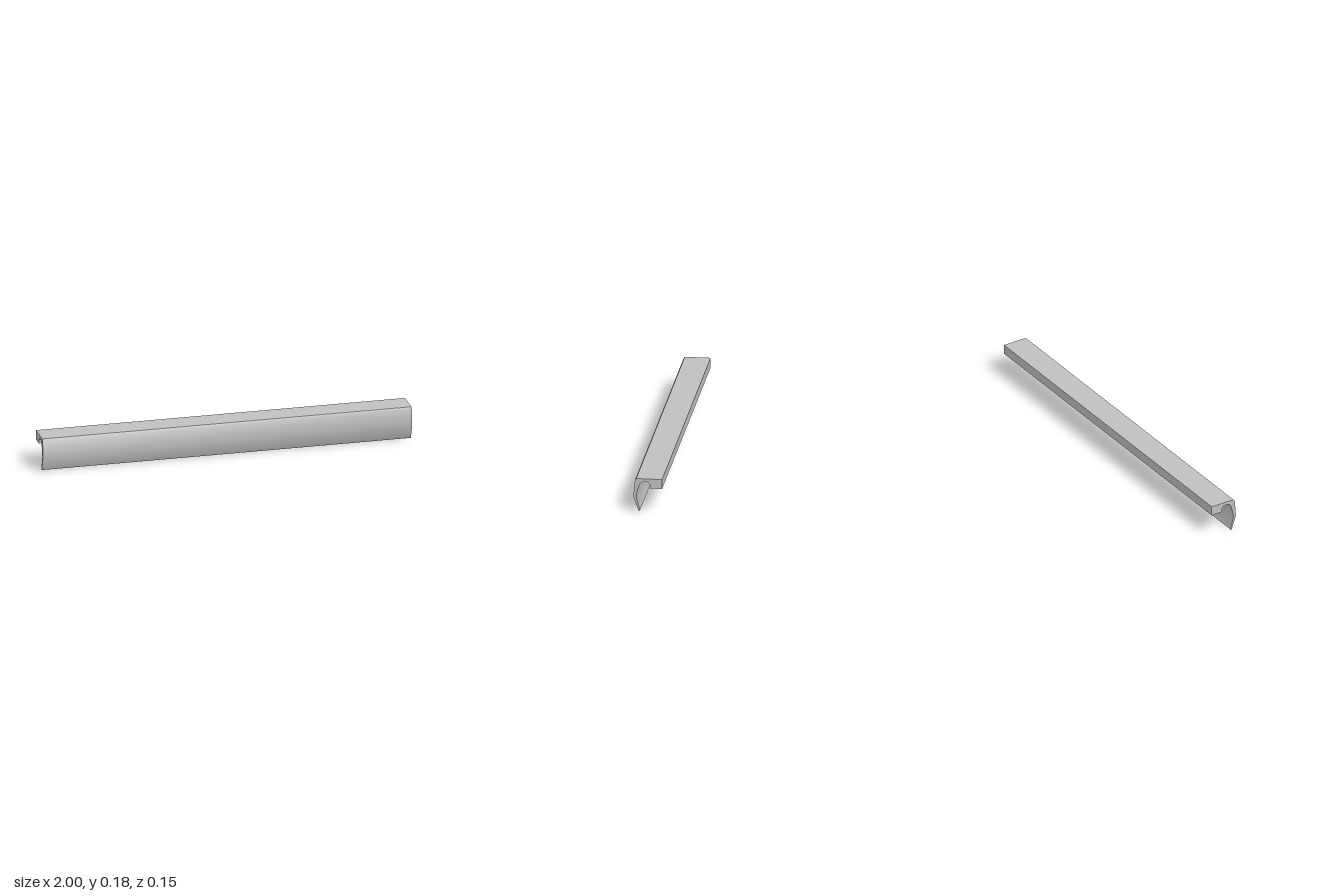
import * as THREE from 'three';
import { toCreasedNormals } from 'three/addons/utils/BufferGeometryUtils.js';

// Cross-section as [z, y]: mounting block at the back, curved lip at the front
const PROFILE = [
  [-0.075, 0.128], [-0.0125, 0.128],                                  // block underside
  [-0.012, 0.146], [0.001, 0.162], [0.024, 0.164], [0.041, 0.153],    // inner hollow
  [0.049, 0.135], [0.0625, 0.08], [0.042, 0.005],                     // inner lip
  [0.047, 0], [0.051, 0.006],                                         // lip tip
  [0.077, 0.08], [0.069, 0.169], [0.062, 0.179],                      // outer lip and bevel
  [0.042, 0.18], [-0.075, 0.18],                                      // top
];

export function createModel() {
  const group = new THREE.Group();
  group.name = 'edgePull';

  const grey = new THREE.MeshStandardMaterial({ color: 0xc0c0c0 });
  grey.name = 'grey metal';

  // Sweep the cross-section along the full length in x
  const shape = new THREE.Shape(PROFILE.map(([z, y]) => new THREE.Vector2(z, y)));
  const extruded = new THREE.ExtrudeGeometry(shape, { depth: 2, bevelEnabled: false });
  extruded.rotateY(-Math.PI / 2).translate(1, 0, 0);

  // Soft curve on the lip, sharp corners elsewhere
  const rail = new THREE.Mesh(toCreasedNormals(extruded, 0.6), grey);
  rail.name = 'pullRail';
  group.add(rail);
  return group;
}
